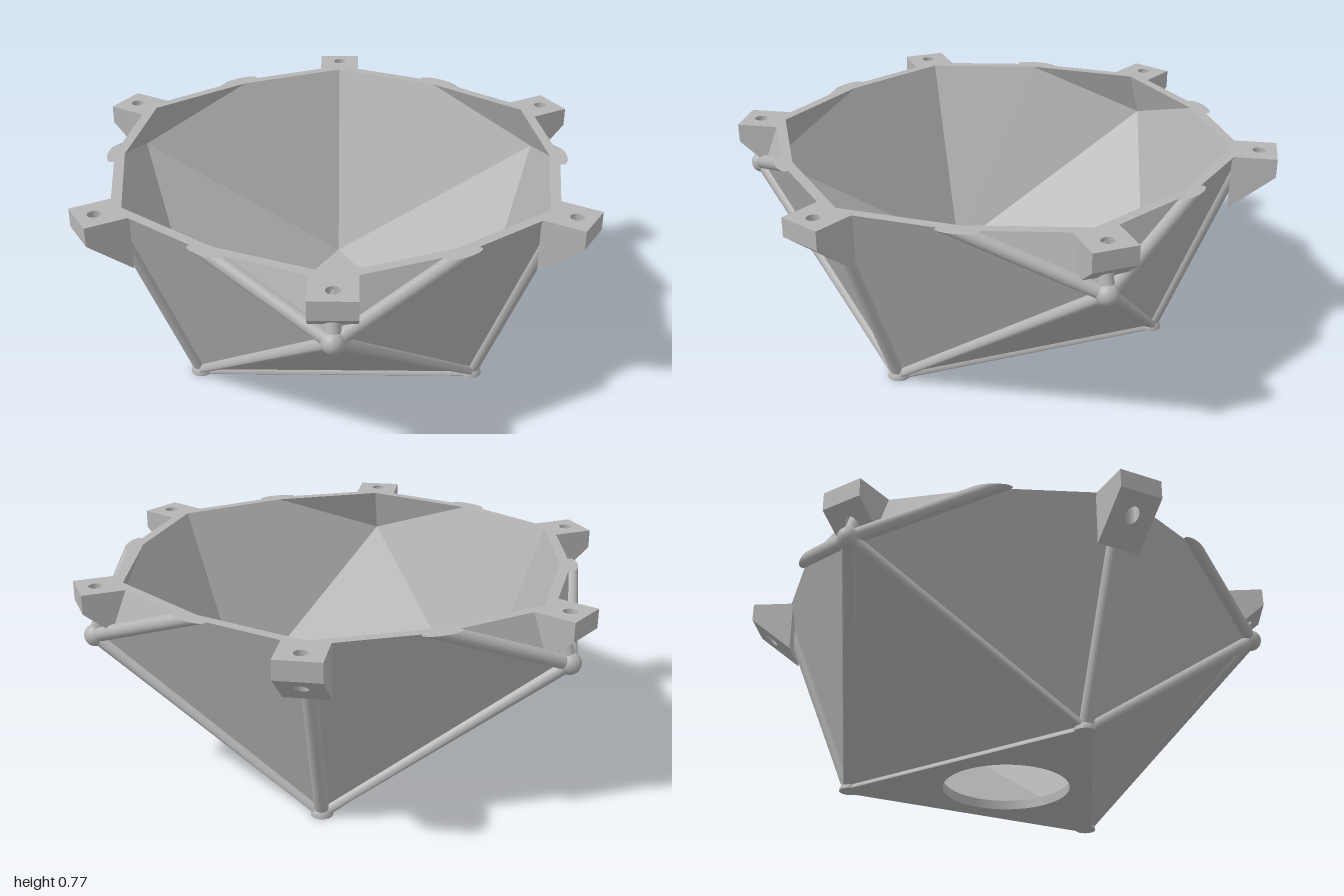
import * as THREE from 'three';

const EDGE = 1.017;                       // icosahedron edge length
const TOP = 0.7558 * EDGE;                // cut plane through the centre
const R1 = EDGE / Math.sqrt(3);           // radius of the bottom ring of corners
const R2 = R1 * 1.618;                    // radius of the middle rings
const RISE = 0.1784 * EDGE;               // middle rings above / below the cut
const INNER = 0.954;                      // inner skin scale about the centre
const ROD = 0.026, BALL = 0.04, PORT = 0.236;

const grey = new THREE.MeshStandardMaterial({ color: 0xb4b4b4, side: THREE.DoubleSide });
grey.name = 'grey';

const polar = (r, deg, y) => {
  const t = THREE.MathUtils.degToRad(deg);
  return new THREE.Vector3(r * Math.cos(t), y, r * Math.sin(t));
};
const low = d => polar(R1, d, 0);                  // bottom corners at 0, 120, 240
const mid = d => polar(R2, d, TOP - RISE);         // next corners at 60, 180, 300
const high = d => polar(R2, d, TOP + RISE);        // corners above the cut
const cutR = d => (d % 60 === 0
  ? R1 + (R2 - R1) * TOP / (TOP + RISE)
  : R2 * Math.cos(Math.PI / 6));
const cut = d => polar(cutR(d), d, TOP);           // edges meeting the cut plane

function addMesh(parent, geometry, name) {
  const mesh = new THREE.Mesh(geometry, grey);
  mesh.name = name;
  parent.add(mesh);
  return mesh;
}

// Faceted wall of one skin; inward skins get reversed faces
function wallGeometry(scale, inward) {
  const centre = new THREE.Vector3(0, TOP, 0);
  const out = [];
  const face = (...pts) => {
    const p = pts.map(v => v.clone().sub(centre).multiplyScalar(scale).add(centre));
    for (let i = 1; i < p.length - 1; i++) {
      let tri = [p[0], p[i], p[i + 1]];
      const n = tri[1].clone().sub(tri[0]).cross(tri[2].clone().sub(tri[0]));
      const outward = n.dot(tri[0].clone().sub(centre)) > 0;
      if (outward === inward) tri = [tri[0], tri[2], tri[1]];
      tri.forEach(v => out.push(v.x, v.y, v.z));
    }
  };
  for (let d = 0; d < 360; d += 120) {
    face(low(d), low(d + 120), mid(d + 60));
    face(low(d), mid(d + 60), cut(d + 30), cut(d));
    face(low(d), mid(d - 60), cut(d - 30), cut(d));
    face(mid(d + 60), cut(d + 60), cut(d + 30));
    face(mid(d + 60), cut(d + 90), cut(d + 60));
  }
  const g = new THREE.BufferGeometry();
  g.setAttribute('position', new THREE.Float32BufferAttribute(out, 3));
  g.computeVertexNormals();
  return g;
}

// Points of a ring in plan
const ring = (fn, step, scale) => {
  const pts = [];
  for (let d = 0; d < 360; d += step) {
    const p = fn(d);
    pts.push(new THREE.Vector2(p.x * scale, p.z * scale));
  }
  return pts;
};

function floorGeometry(scale, up) {
  const shape = new THREE.Shape(ring(low, 120, scale));
  shape.holes.push(new THREE.Path().absarc(0, 0, PORT, 0, Math.PI * 2, true));
  return new THREE.ShapeGeometry(shape, 32)
    .rotateX(up ? -Math.PI / 2 : Math.PI / 2)
    .translate(0, TOP * (1 - scale), 0);
}

// Round rod between two corners, sliced at the cut plane and flattened at the base
function rodGeometry(a, b) {
  const dir = b.clone().sub(a);
  const g = new THREE.CylinderGeometry(ROD, ROD, dir.length(), 20);
  const axis = dir.clone().normalize();
  g.applyQuaternion(new THREE.Quaternion().setFromUnitVectors(new THREE.Vector3(0, 1, 0), axis));
  const m = a.clone().add(b).multiplyScalar(0.5);
  g.translate(m.x, m.y, m.z);
  const p = g.attributes.position, v = new THREE.Vector3();
  for (let i = 0; i < p.count; i++) {
    v.fromBufferAttribute(p, i);
    if (v.y > TOP) v.addScaledVector(axis, (TOP - v.y) / axis.y);
    p.setXYZ(i, v.x, Math.max(0, v.y), v.z);
  }
  g.computeVertexNormals();
  return g;
}

function ballGeometry(c) {
  const g = new THREE.SphereGeometry(BALL, 24, 16).translate(c.x, c.y, c.z);
  const p = g.attributes.position;
  for (let i = 0; i < p.count; i++) p.setY(i, Math.max(0, p.getY(i)));
  g.computeVertexNormals();
  return g;
}

// Wedge-shaped mounting tab with a vertical screw hole
function tabGeometry(overBall) {
  const r0 = 0.842, w = 0.08;
  const shape = new THREE.Shape([[r0, -w], [1, -w], [1, w], [r0, w]].map(q => new THREE.Vector2(...q)));
  shape.holes.push(new THREE.Path().absarc(0.937, 0, 0.024, 0, Math.PI * 2, true));
  const g = new THREE.ExtrudeGeometry(shape, { depth: 1, bevelEnabled: false, curveSegments: 12 });
  g.rotateX(-Math.PI / 2);
  const p = g.attributes.position;
  for (let i = 0; i < p.count; i++) {
    if (p.getY(i) > 0.5) { p.setY(i, TOP); continue; }
    if (overBall && p.getX(i) < 0.85) p.setX(i, 0.9);
    p.setY(i, 0.70 - 0.82 * (1 - p.getX(i)));
  }
  g.computeVertexNormals();
  return g;
}

export function createModel() {
  const model = new THREE.Group();
  model.name = 'facetedBowl';

  // Bowl shell
  const shell = new THREE.Group();
  shell.name = 'shell';
  model.add(shell);
  addMesh(shell, wallGeometry(1, false), 'outerWall');
  addMesh(shell, wallGeometry(INNER, true), 'innerWall');
  addMesh(shell, floorGeometry(1, false), 'floorUnderside');
  addMesh(shell, floorGeometry(INNER, true), 'floorInside');
  const portHeight = TOP * (1 - INNER);
  addMesh(shell, new THREE.CylinderGeometry(PORT, PORT, portHeight, 64, 1, true), 'portWall')
    .position.y = portHeight / 2;
  const rim = new THREE.Shape(ring(cut, 30, 1));
  rim.holes.push(new THREE.Path(ring(cut, 30, INNER)));
  addMesh(shell, new THREE.ShapeGeometry(rim).rotateX(-Math.PI / 2).translate(0, TOP, 0), 'rim');

  // Rods along the edges and balls at the corners
  const frame = new THREE.Group();
  frame.name = 'frame';
  model.add(frame);
  for (let d = 0; d < 360; d += 120) {
    addMesh(frame, rodGeometry(low(d), low(d + 120)), 'baseRod');
    addMesh(frame, rodGeometry(low(d), high(d)), 'uprightRod');
    addMesh(frame, rodGeometry(mid(d + 60), polar(R1, d + 60, 2 * TOP)), 'stubRod');
    for (const s of [-60, 60]) {
      addMesh(frame, rodGeometry(low(d), mid(d + s)), 'slantedRod');
      addMesh(frame, rodGeometry(mid(d + 60), high(d + 60 + s)), 'upperRod');
    }
    addMesh(frame, ballGeometry(low(d)), 'baseBall');
    addMesh(frame, ballGeometry(mid(d + 60)), 'cornerBall');
  }

  // Six mounting tabs around the rim
  for (let k = 0; k < 6; k++) {
    addMesh(model, tabGeometry(k % 2 === 1), 'mountingTab').rotation.y = k * Math.PI / 3;
  }
  return model;
}
